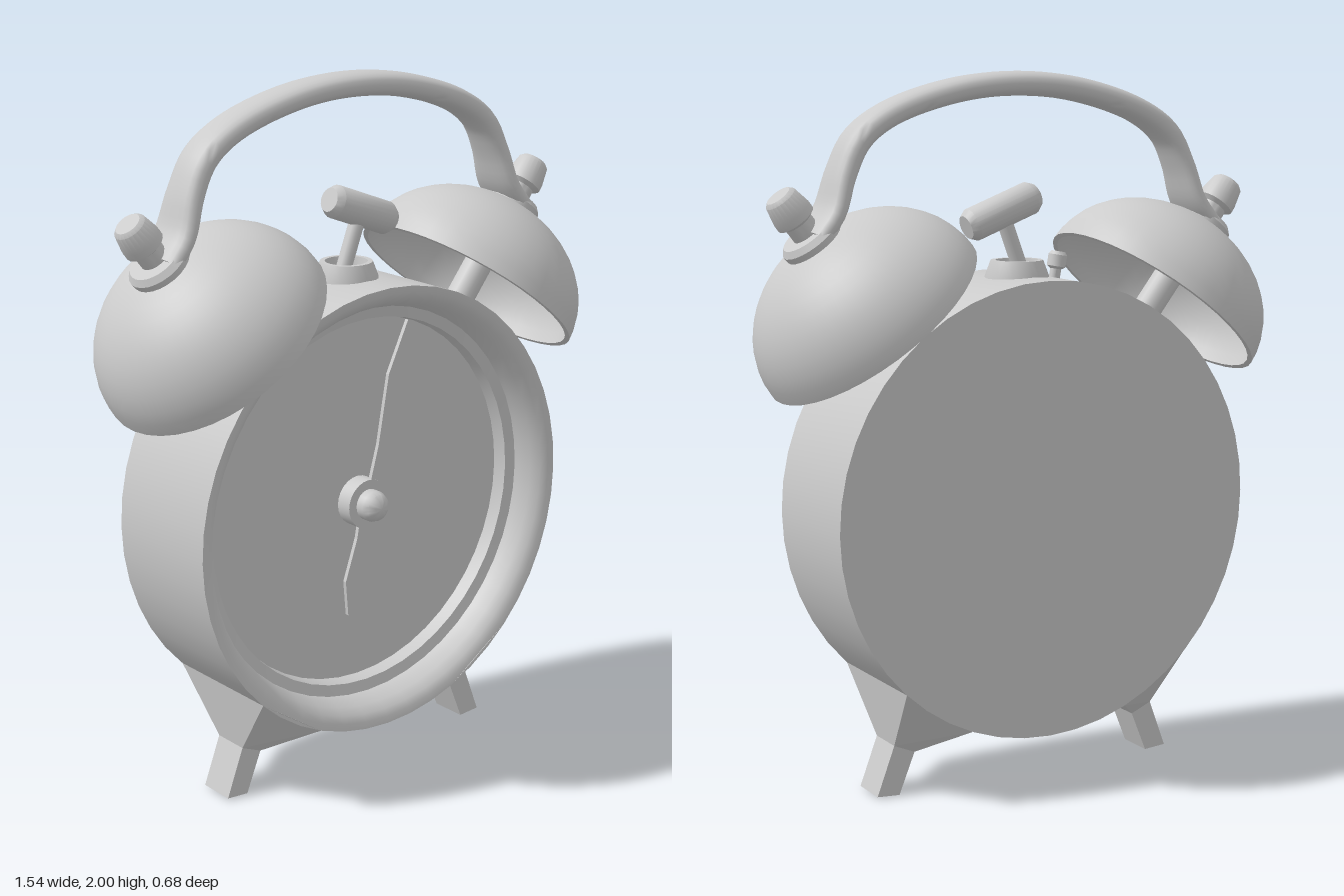
import * as THREE from 'three';
import { toCreasedNormals } from 'three/addons/utils/BufferGeometryUtils.js';
import { ConvexGeometry } from 'three/addons/geometries/ConvexGeometry.js';

const material = new THREE.MeshStandardMaterial({ color: 0xcccccc });
const CENTER_Y = 0.79;

function add(parent, name, geometry, x = 0, y = 0, z = 0) {
  const mesh = new THREE.Mesh(geometry, material);
  mesh.name = name;
  mesh.position.set(x, y, z);
  parent.add(mesh);
  return mesh;
}

// Turned part from [radius, height] pairs, with sharp edges kept
function turned(points, segments = 24) {
  const profile = points.map(([r, y]) => new THREE.Vector2(r, y));
  return toCreasedNormals(new THREE.LatheGeometry(profile, segments), 0.6);
}

// Elliptical-section bar swept along a curve in the xy plane
function sweptBar(curve, steps, sides, halfThickness, halfWidth) {
  const positions = [], index = [];
  for (let i = 0; i <= steps; i++) {
    const u = i / steps, p = curve.getPointAt(u), t = curve.getTangentAt(u);
    const a = halfThickness(u), b = halfWidth(u);
    for (let j = 0; j < sides; j++) {
      const angle = (j / sides) * Math.PI * 2;
      const c = Math.cos(angle), s = Math.sin(angle);
      const n = Math.sign(c) * Math.abs(c) ** 0.8 * a;
      const w = Math.sign(s) * Math.abs(s) ** 0.8 * b;
      positions.push(p.x - t.y * n, p.y + t.x * n, w);
      if (i < steps) {
        const k = i * sides + j, l = i * sides + ((j + 1) % sides);
        index.push(k, k + sides, l, l, k + sides, l + sides);
      }
    }
  }
  // End caps
  for (let j = 1; j < sides - 1; j++) {
    const e = steps * sides;
    index.push(0, j, j + 1, e, e + j + 1, e + j);
  }
  const geometry = new THREE.BufferGeometry();
  geometry.setAttribute('position', new THREE.Float32BufferAttribute(positions, 3));
  // Make the winding face outward
  const [ia, ib, ic] = index.slice(0, 3).map((k) => new THREE.Vector3().fromArray(positions, k * 3));
  const normal = ib.clone().sub(ia).cross(ic.clone().sub(ia));
  const p0 = curve.getPointAt(0);
  if (normal.dot(ia.clone().sub(p0)) < 0) index.reverse();
  geometry.setIndex(index);
  return toCreasedNormals(geometry, 0.9);
}

// Slim pointed clock hand lying along +y
function handGeometry(length, width) {
  const half = [[0.008, 0], [0.008, length * 0.32], [width / 2, length * 0.7]];
  const shape = new THREE.Shape([
    ...half.map(([x, y]) => new THREE.Vector2(x, y)),
    new THREE.Vector2(0, length),
    ...half.reverse().map(([x, y]) => new THREE.Vector2(-x, y)),
  ]);
  return new THREE.ExtrudeGeometry(shape, { depth: 0.012, bevelEnabled: false });
}

export function createModel() {
  const model = new THREE.Group();
  model.name = 'alarmClock';

  // Drum case with rounded funnel bezel, ledge and recessed dial
  const body = turned([
    [0, -0.19], [0.645, -0.19], [0.645, 0.19], [0.625, 0.187], [0.605, 0.175], [0.588, 0.15],
    [0.575, 0.115], [0.572, 0.1], [0.54, 0.092], [0.535, 0.05], [0, 0.05],
  ], 48);
  body.rotateX(Math.PI / 2);
  add(model, 'case', body, 0, CENTER_Y, 0);

  // Hands and center hub
  add(model, 'minuteHand', handGeometry(0.535, 0.055), 0, CENTER_Y, 0.085).rotation.z = -0.275;
  add(model, 'hourHand', handGeometry(0.335, 0.055), 0, CENTER_Y, 0.07).rotation.z = Math.PI - 0.18;
  const hub = turned([
    [0, 0.04], [0.072, 0.04], [0.072, 0.1], [0.045, 0.1], [0.045, 0.125],
    [0.038, 0.143], [0.022, 0.156], [0, 0.16],
  ]);
  hub.rotateX(Math.PI / 2);
  add(model, 'hub', hub, 0, CENTER_Y, 0);

  // Bell shell: rim radius 0.34, height 0.28
  const arc = [];
  for (let i = 0; i <= 12; i++) arc.push((i / 12) * Math.PI / 2);
  const inner = arc.map((a) => [0.325 * Math.sin(a), 0.265 * Math.cos(a)]);
  const outer = arc.map((a) => [0.34 * Math.cos(a), 0.281 * Math.sin(a)]);
  const bellGeometry = turned([...inner, ...outer], 40);
  const knobGeometry = turned([
    [0, 0.29], [0.04, 0.29], [0.04, 0.345], [0.056, 0.355], [0.056, 0.375],
    [0.046, 0.425], [0.036, 0.435], [0, 0.435],
  ]);
  const eyeGeometry = turned([[0, 0.25], [0.07, 0.25], [0.085, 0.262], [0.088, 0.29], [0.075, 0.306], [0, 0.306]]);

  for (const side of [-1, 1]) {
    const label = side > 0 ? 'left' : 'right';

    // Bell with its post, handle eye and knob, all on one tilted axis
    const bell = new THREE.Group();
    bell.name = label + 'BellAssembly';
    bell.position.set(side * 0.4525, 1.335, 0);
    bell.rotation.z = -side * 0.666;
    model.add(bell);
    add(bell, 'bell', bellGeometry);
    add(bell, 'bellPost', new THREE.CylinderGeometry(0.042, 0.042, 0.38, 20), 0, 0.08, 0);
    add(bell, 'handleEye', eyeGeometry);
    add(bell, 'bellKnob', knobGeometry);

    // Leg: wide gusset tapering to a square foot
    const corners = (list) => list.flatMap(([x, y, z]) => [1, -1].map((s) => new THREE.Vector3(side * x, y, s * z)));
    const leg = new THREE.Group();
    leg.name = label + 'Leg';
    model.add(leg);
    const gusset = new ConvexGeometry(corners([[0.452, 0.33, 0.19], [0.25, 0.195, 0.19], [0.425, 0.145, 0.055], [0.362, 0.118, 0.055]]));
    const foot = new ConvexGeometry(corners([[0.425, 0.145, 0.055], [0.362, 0.118, 0.055], [0.478, 0.005, 0.055], [0.41, 0, 0.055]]));
    add(leg, 'gusset', toCreasedNormals(gusset, 0.1));
    add(leg, 'foot', toCreasedNormals(foot, 0.1));
  }

  // Carrying handle, widening toward the bells
  const halfPath = [[0.625, 1.565], [0.575, 1.63], [0.54, 1.73], [0.492, 1.82], [0.4, 1.885], [0.2, 1.947]];
  const path = new THREE.CatmullRomCurve3([
    ...halfPath.map(([x, y]) => new THREE.Vector3(-x, y, 0)),
    new THREE.Vector3(0, 1.966, 0),
    ...halfPath.reverse().map(([x, y]) => new THREE.Vector3(x, y, 0)),
  ]);
  const flare = (u) => THREE.MathUtils.smoothstep(Math.abs(u - 0.5) * 2, 0.7, 0.97);
  add(model, 'handle', sweptBar(path, 64, 20, (u) => 0.034 - 0.004 * flare(u), (u) => 0.062 + 0.021 * flare(u)));

  // Striker: hollow collar, stem and chamfered head
  const collar = turned([
    [0, 1.40], [0.092, 1.40], [0.09, 1.435], [0.074, 1.478], [0.06, 1.478], [0.055, 1.445], [0, 1.445],
  ], 28);
  add(model, 'strikerCollar', collar);
  const striker = new THREE.Group();
  striker.name = 'striker';
  striker.position.set(0.05, 1.615, 0);
  striker.rotation.z = -0.36;
  model.add(striker);
  add(striker, 'strikerStem', new THREE.CylinderGeometry(0.022, 0.022, 0.2, 16), 0, -0.1, 0);
  const head = turned([
    [0, -0.118], [0.034, -0.118], [0.047, -0.098], [0.047, 0.098], [0.034, 0.118], [0, 0.118],
  ]);
  head.rotateZ(Math.PI / 2);
  add(striker, 'strikerHead', head);

  // Small stop button on the case top
  const button = turned([
    [0, -0.06], [0.016, -0.06], [0.016, 0.005], [0.027, 0.012], [0.027, 0.045], [0.02, 0.055], [0, 0.055],
  ], 16);
  add(model, 'stopButton', button, -0.126, 1.442, 0).rotation.z = 0.18;

  return model;
}
